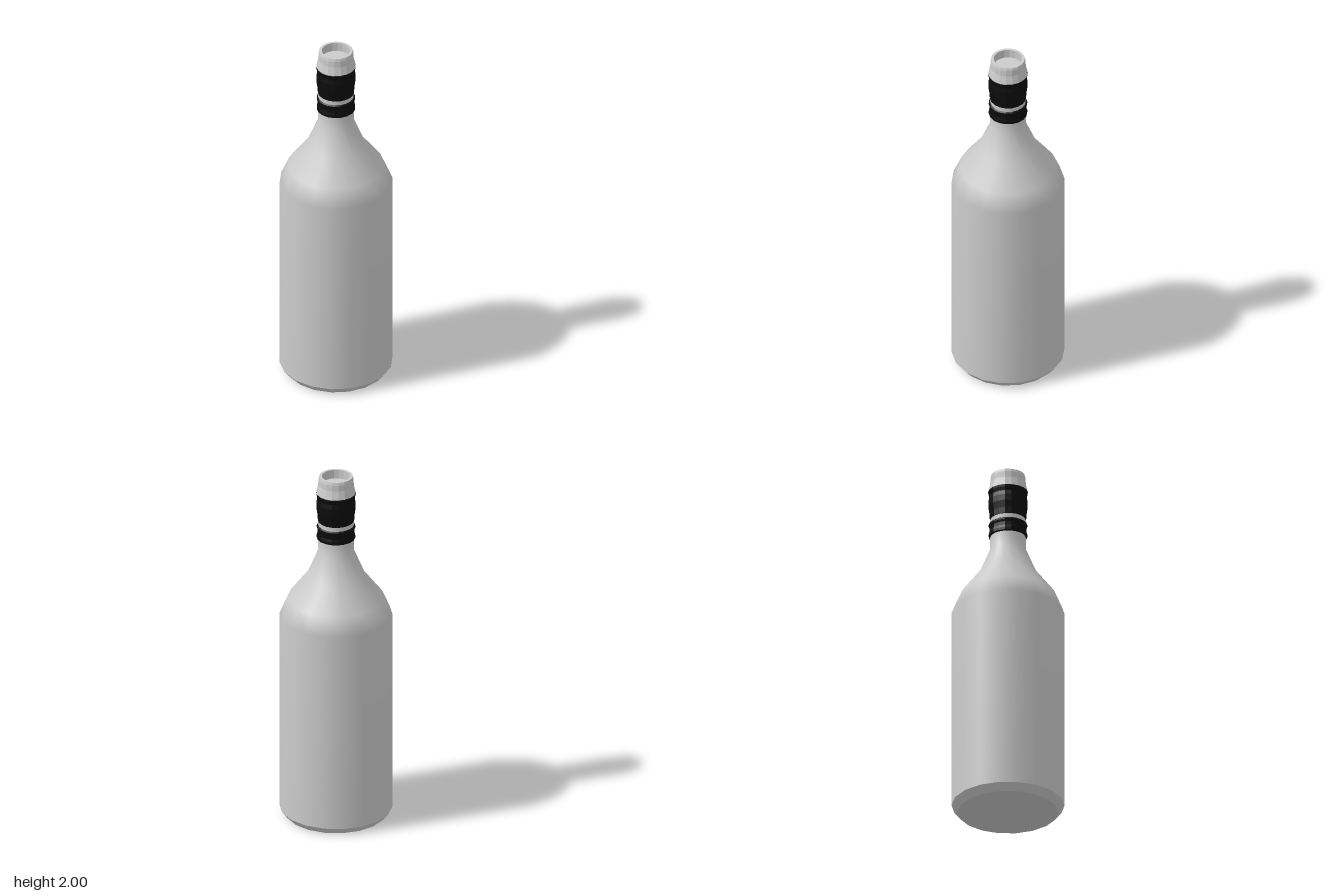
import * as THREE from 'three';

const SIDES = 18;
const TURN = THREE.MathUtils.degToRad(6.6);

// Revolve a [radius, height] profile (listed from bottom to top on the outside)
function turned(name, profile, { color = 0xcccccc, flat = false } = {}) {
  const points = profile.map(([r, y]) => new THREE.Vector2(r, y));
  const geometry = new THREE.LatheGeometry(points, SIDES, TURN);
  const material = new THREE.MeshStandardMaterial({ color, flatShading: flat });
  const mesh = new THREE.Mesh(geometry, material);
  mesh.name = name;
  return mesh;
}

export function createModel() {
  const bottle = new THREE.Group();
  bottle.name = 'bottle';
  const black = { color: 0x0c0c0c, flat: true };

  // Flat underside with a faceted chamfer
  bottle.add(turned('base', [[0, 0], [0.272, 0], [0.305, 0.04]], { flat: true }));

  // Straight body, rounded shoulder and neck in one smooth skin
  bottle.add(turned('body', [
    [0.305, 0.04], [0.305, 1.18], [0.262, 1.28], [0.158, 1.415],
    [0.097, 1.56], [0.096, 1.64],
  ]));

  // Lower black band
  bottle.add(turned('lowerBand', [
    [0.095, 1.63], [0.104, 1.635], [0.104, 1.65], [0.1, 1.665],
    [0.1, 1.685], [0.104, 1.697], [0.104, 1.706], [0.095, 1.712],
  ], black));

  // Bare ring of neck between the bands
  bottle.add(turned('neckRing', [[0.096, 1.705], [0.096, 1.74]]));

  // Upper black collar with a waist under its top edge
  bottle.add(turned('upperCollar', [
    [0.094, 1.733], [0.098, 1.737], [0.1, 1.77], [0.106, 1.81], [0.106, 1.845],
    [0.101, 1.87], [0.106, 1.89], [0.107, 1.9], [0.1, 1.905],
  ], black));

  // Flared rim and the shallow recess of the mouth
  bottle.add(turned('rim', [
    [0.1, 1.898], [0.107, 1.903], [0.096, 1.95], [0.095, 1.985], [0.091, 2],
    [0.077, 2], [0.077, 1.95], [0, 1.95],
  ], { flat: true }));

  return bottle;
}
